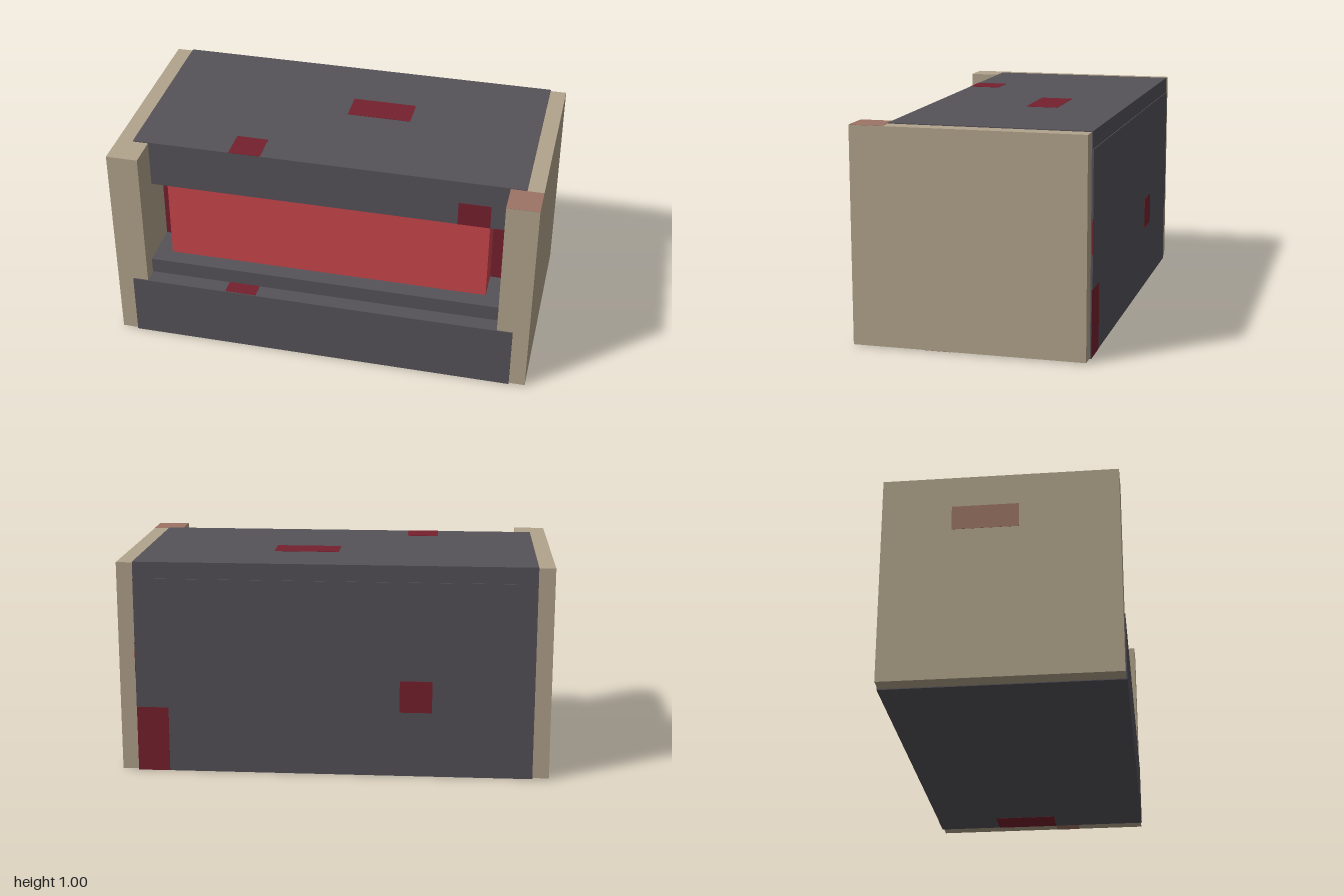
import * as THREE from 'three';

export function createModel() {
  const model = new THREE.Group();
  const mat = (name, color) => {
    const m = new THREE.MeshStandardMaterial({ color });
    m.name = name;
    return m;
  };
  const beige = mat('beige', 0xb2a48c);
  const charcoal = mat('charcoal', 0x555259);
  const red = mat('bright red', 0xc9464b);
  const darkRed = mat('dark red', 0x76202e);
  const brown = mat('rust brown', 0x9d7565);

  // Box given by its extents on each axis
  const box = (name, material, [x0, x1], [y0, y1], [z0, z1]) => {
    const mesh = new THREE.Mesh(new THREE.BoxGeometry(x1 - x0, y1 - y0, z1 - z0), material);
    mesh.position.set((x0 + x1) / 2, (y0 + y1) / 2, (z0 + z1) / 2);
    mesh.name = name;
    model.add(mesh);
    return mesh;
  };

  // Side walls
  box('leftWall', beige, [0.85, 1], [0.004, 0.996], [-0.53, 0.533]);
  box('rightWall', beige, [-1, -0.85], [0.004, 0.996], [-0.53, 0.533]);

  // Body between the walls: stepped base, header and recessed back
  const inner = [-0.85, 0.85];
  box('lowerBody', charcoal, inner, [0.004, 0.31], [-0.53, 0.533]);
  box('ledge', charcoal, inner, [0.31, 0.385], [-0.53, 0.46]);
  box('header', charcoal, inner, [0.77, 0.996], [-0.53, 0.38]);
  box('recessBack', darkRed, inner, [0.385, 0.77], [-0.53, 0.23]);
  box('redPanel', red, [-0.77, 0.77], [0.385, 0.77], [0.23, 0.379]);

  // Thin outer cladding
  const wide = [-0.924, 0.924];
  box('topPlate', charcoal, wide, [0.996, 1], [-0.535, 0.38]);
  box('bottomPlate', charcoal, wide, [0, 0.004], [-0.535, 0.536]);
  box('frontPlate', charcoal, wide, [0, 0.31], [0.533, 0.538]);
  box('backPlate', charcoal, wide, [0, 1], [-0.535, -0.53]);
  box('raisedBackPlate', charcoal, wide, [0.31, 0.923], [-0.539, -0.535]);

  // Painted patches
  const e = 0.0012;
  box('topPatch', darkRed, [0, 0.305], [1, 1 + e], [-0.23, -0.08]);
  box('topEdgePatch', darkRed, [-0.46, -0.31], [1, 1 + e], [0.23, 0.38]);
  box('shelfPatch', darkRed, [-0.46, -0.31], [0.31, 0.31 + e], [0.46, 0.533]);
  box('headerPatch', darkRed, [0.62, 0.77], [0.77, 0.887], [0.38, 0.38 + e]);
  box('backPatch', darkRed, [-0.455, -0.305], [0.31, 0.46], [-0.539 - e, -0.539]);
  box('backCornerPatch', darkRed, [0.775, 0.924], [0, 0.31], [-0.535 - e, -0.535]);
  box('bottomPatch', darkRed, [0.775, 0.924], [-e, 0], [-0.225, 0.08]);
  box('raisedEdgePatch', darkRed, [0.924, 0.924 + e], [0.465, 0.62], [-0.539, -0.535]);
  box('wallTopPatch', brown, [0.85, 1], [0.996, 0.996 + e], [0.38, 0.533]);
  box('wallSidePatch', brown, [-1 - e, -1], [0.73, 0.846], [-0.215, 0.085]);
  box('wallBottomPatch', brown, [0.924, 1], [0.004 - e, 0.004], [0.08, 0.2]);

  return model;
}
